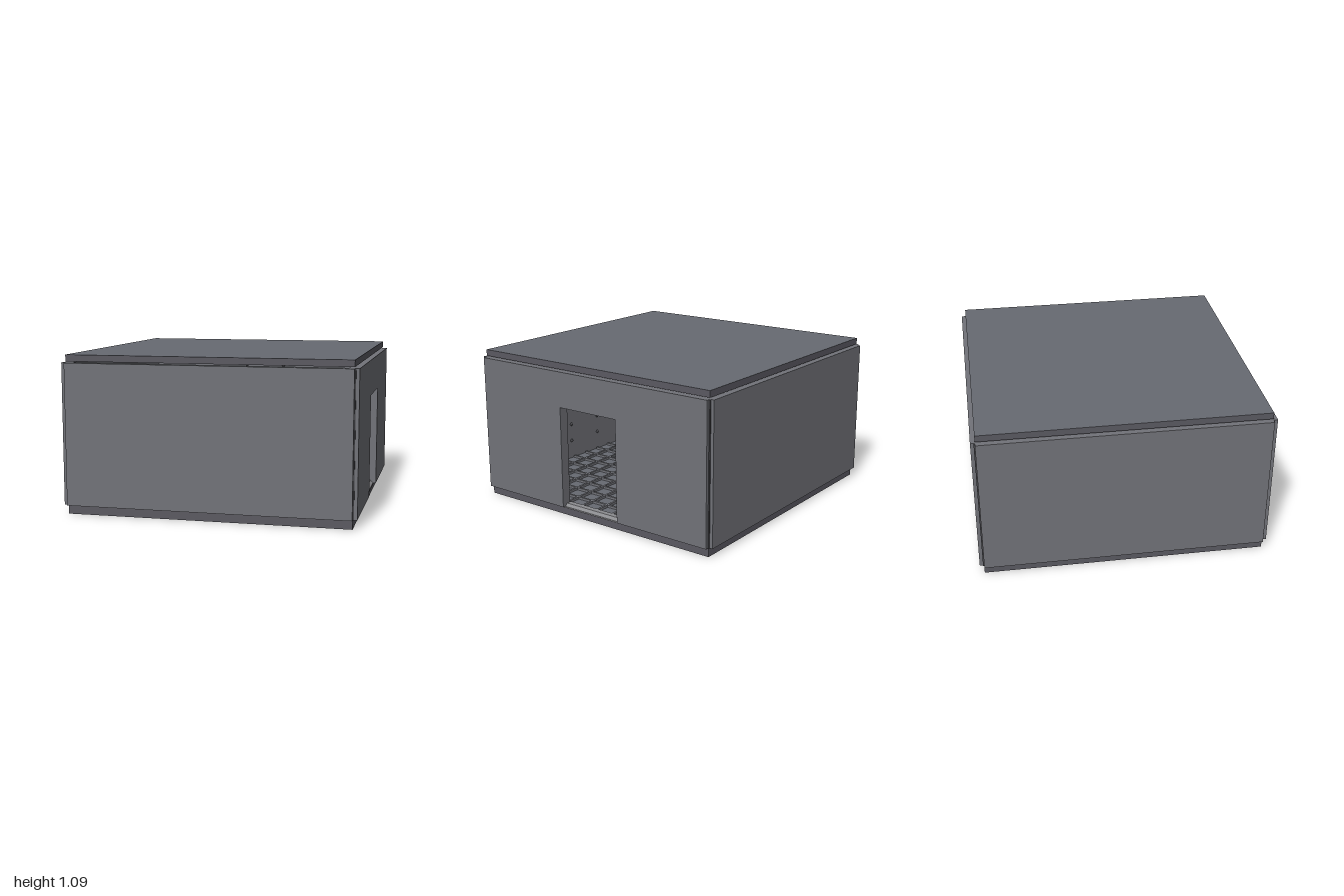
import * as THREE from 'three';

export function createModel() {
  const model = new THREE.Group();
  const paint = color => new THREE.MeshStandardMaterial({ color, flatShading: true });
  const wallGrey = paint(0x727379), slabTop = paint(0x676a72), slabSide = paint(0x5b5a62);
  const slabUnder = paint(0x676769), trim = paint(0x8b8c8f), dark = paint(0x46464a);
  const orange = paint(0x9a7459);
  const slab = [slabSide, slabSide, slabTop, slabUnder, slabSide, slabSide];

  const BOTTOM = 0.063, TOP = 1.034;      // wall panel heights
  const INNER = 0.93, EDGE = 0.97;        // inner wall face, slab and panel half width
  const DOOR = 0.243, DOOR_TOP = 0.785;   // door half width and head
  const PITCH = 0.135;                    // bolt and floor grid spacing

  function add(name, geometry, parent, material) {
    const mesh = new THREE.Mesh(geometry, material);
    mesh.name = name;
    parent.add(mesh);
    return mesh;
  }

  // box given by its lower and upper corners
  function box(name, a, b, parent, material) {
    const g = new THREE.BoxGeometry(b[0] - a[0], b[1] - a[1], b[2] - a[2]);
    g.translate((a[0] + b[0]) / 2, (a[1] + b[1]) / 2, (a[2] + b[2]) / 2);
    return add(name, g, parent, material);
  }

  // outline of 2D points extruded along z
  function extrude(points, depth) {
    const shape = new THREE.Shape(points.map(p => new THREE.Vector2(...p)));
    return new THREE.ExtrudeGeometry(shape, { depth, bevelEnabled: false });
  }

  // upright prism from a plan outline of [x, z] points
  const prism = (plan, y0, y1) => extrude(plan, y1 - y0).rotateX(Math.PI / 2).translate(0, y1, 0);

  // floor and roof slabs
  box('floorSlab', [-EDGE, 0, -EDGE], [EDGE, BOTTOM, EDGE], model, slab);
  box('roofSlab', [-EDGE, 1.043, -EDGE], [EDGE, 1.088, EDGE], model, slab);

  // wall panels with mitred inner ends, each with a dark corner post
  const end = [[EDGE, 1], [EDGE, EDGE], [INNER, INNER]];
  const mirrored = end.map(([x, z]) => [-x, z]).reverse();
  const boltColumns = { frontWall: [-0.155, 0.155], backWall: [-0.155, 0.155], farWall: [0] };
  ['frontWall', 'doorWall', 'backWall', 'farWall'].forEach((name, i) => {
    const wall = new THREE.Group();
    wall.name = name;
    wall.rotation.y = i * Math.PI / 2;
    model.add(wall);
    box('cornerPost', [0.955, BOTTOM, 0.955], [0.978, TOP - 0.002, 0.978], wall, dark);

    if (name === 'doorWall') {
      add('wallPanel', prism([[DOOR, 1], ...end, [DOOR, INNER]], BOTTOM, TOP), wall, wallGrey);
      add('wallPanel', prism([[-DOOR, INNER], ...mirrored, [-DOOR, 1]], BOTTOM, TOP), wall, wallGrey);
      box('lintel', [-DOOR, DOOR_TOP, INNER], [DOOR, TOP, 1], wall, wallGrey);

      // sloping threshold across the doorway, with a wider lip below it
      const sill = extrude([[0.92, 0.06], [0.98, 0.06], [0.96, 0.082], [0.92, 0.082]], 2 * DOOR);
      add('threshold', sill.translate(0, 0, -DOOR).rotateY(-Math.PI / 2), wall, trim);
      box('thresholdLip', [-0.263, 0.053, 0.95], [0.263, 0.0625, 0.98], wall, trim);
    } else {
      add('wallPanel', prism([...end, ...mirrored], BOTTOM, TOP), wall, wallGrey);
      // columns of round bolt heads on the inner face
      for (const x of boltColumns[name]) {
        for (let k = 0; k < 6; k++) {
          const bolt = add('bolt', new THREE.SphereGeometry(0.013, 12, 8), wall, dark);
          bolt.position.set(x, 0.207 + k * PITCH, INNER);
        }
      }
    }
  });

  // raised floor grid
  const grid = new THREE.Group();
  grid.name = 'floorGrid';
  model.add(grid);
  for (let k = -6; k <= 6; k++) {
    const c = k * PITCH, w = 0.008;
    box('gridBar', [-0.92, BOTTOM, c - w], [0.92, 0.08, c + w], grid, wallGrey);
    box('gridBar', [c - w, BOTTOM, -0.92], [c + w, 0.08, 0.92], grid, wallGrey);
  }

  // bench along the far wall, with a bevelled front edge
  const bench = extrude([[-INNER, 0.29], [-0.5, 0.29], [-0.53, 0.317], [-INNER, 0.317]], 2 * INNER);
  add('benchTop', bench.translate(0, 0, -INNER), model, trim);

  // orange chest below the bench and low panel on the back wall
  box('chest', [-0.92, 0.08, -0.92], [-0.55, 0.29, -0.1], model, orange);
  box('lowPanel', [-0.55, 0.08, -INNER], [0.37, 0.29, -0.915], model, orange);

  return model;
}
